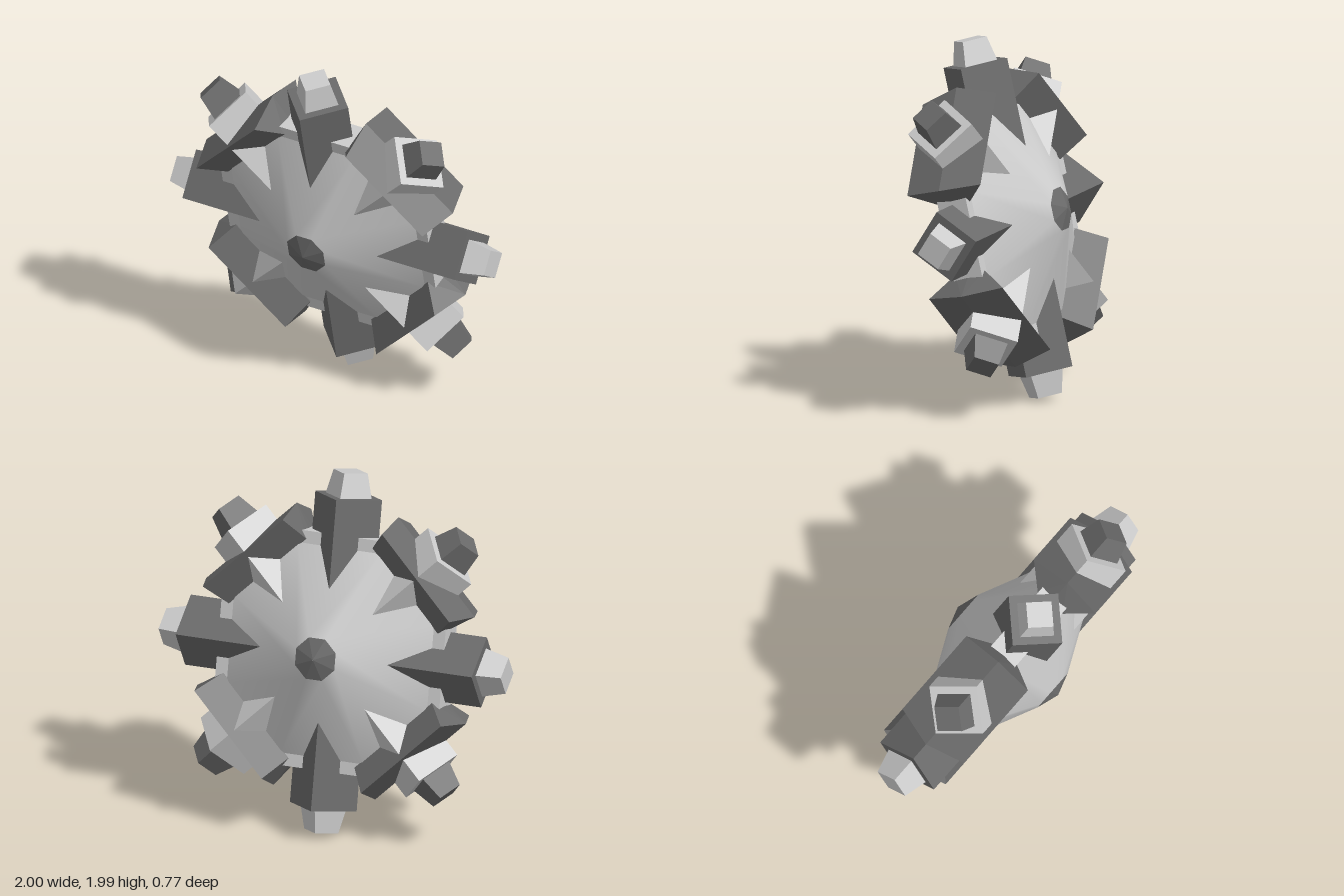
import * as THREE from 'three';
import { ConvexGeometry } from 'three/addons/geometries/ConvexGeometry.js';

const light = new THREE.MeshStandardMaterial({ color: 0xcccccc });
const lightFlat = new THREE.MeshStandardMaterial({ color: 0xcccccc, flatShading: true });
const darkFlat = new THREE.MeshStandardMaterial({ color: 0x6a6a6a, flatShading: true });

function part(name, geometry, material, parent) {
  const mesh = new THREE.Mesh(geometry, material);
  mesh.name = name;
  parent.add(mesh);
  return mesh;
}

// Eight-sided frustum along +z, sized by the distance to its flats
function octagon(top, bottom, z0, z1, open) {
  const c = Math.cos(Math.PI / 8);
  return new THREE.CylinderGeometry(top / c, bottom / c, z1 - z0, 8, 1, open, Math.PI / 8)
    .translate(0, (z0 + z1) / 2, 0)
    .rotateX(Math.PI / 2);
}

// Four-sided frustum along +y with its corners on the x and z axes
function diamond(top, bottom, y0, y1) {
  return new THREE.CylinderGeometry(top, bottom, y1 - y0, 4, 1).translate(0, (y0 + y1) / 2, 0);
}

// Faceted crossbar: corners as [half length, radius, depth]
function crossbarGeometry() {
  const points = [];
  for (const [x, y, z] of [[0.345, 0.765, 0], [0.304, 0.714, 0.224], [0.295, 0.57, 0.09], [0.285, 0.5, 0]]) {
    for (const sx of [-1, 1]) {
      for (const sz of z ? [-1, 1] : [1]) points.push(new THREE.Vector3(sx * x, y, sz * z));
    }
  }
  return new ConvexGeometry(points);
}

export function createModel() {
  const model = new THREE.Group();
  model.name = 'spokedWheel';

  const wheel = new THREE.Group();
  wheel.name = 'wheel';
  wheel.position.y = 1;
  wheel.rotation.x = 0.227;
  model.add(wheel);

  // Rim and the two domed sides with their hub caps
  part('rim', octagon(0.655, 0.655, -0.087, 0.087, false), lightFlat, wheel);
  for (const turn of [0, Math.PI]) {
    const side = new THREE.Group();
    side.name = turn ? 'backSide' : 'frontSide';
    side.rotation.y = turn;
    wheel.add(side);
    part('cone', octagon(0.115, 0.587, 0.086, 0.325, true), light, side);
    part('hubCap', octagon(0.001, 0.115, 0.325, 0.364, true), darkFlat, side);
  }

  // Eight arms; every second one is light with a dark tip and carries a crossbar
  const armGeometry = diamond(0.195, 0.195, 0.1, 0.865);
  const tipGeometry = diamond(0.1, 0.135, 0.86, 1);
  const barGeometry = crossbarGeometry();
  for (let i = 0; i < 8; i++) {
    const diagonal = i % 2 === 1;
    const spoke = new THREE.Group();
    spoke.name = diagonal ? 'diagonalSpoke' : 'mainSpoke';
    spoke.rotation.z = (i * Math.PI) / 4;
    wheel.add(spoke);
    part('arm', armGeometry, diagonal ? lightFlat : darkFlat, spoke);
    part('armTip', tipGeometry, diagonal ? darkFlat : lightFlat, spoke);
    if (diagonal) part('crossbar', barGeometry, darkFlat, spoke);
  }
  return model;
}
